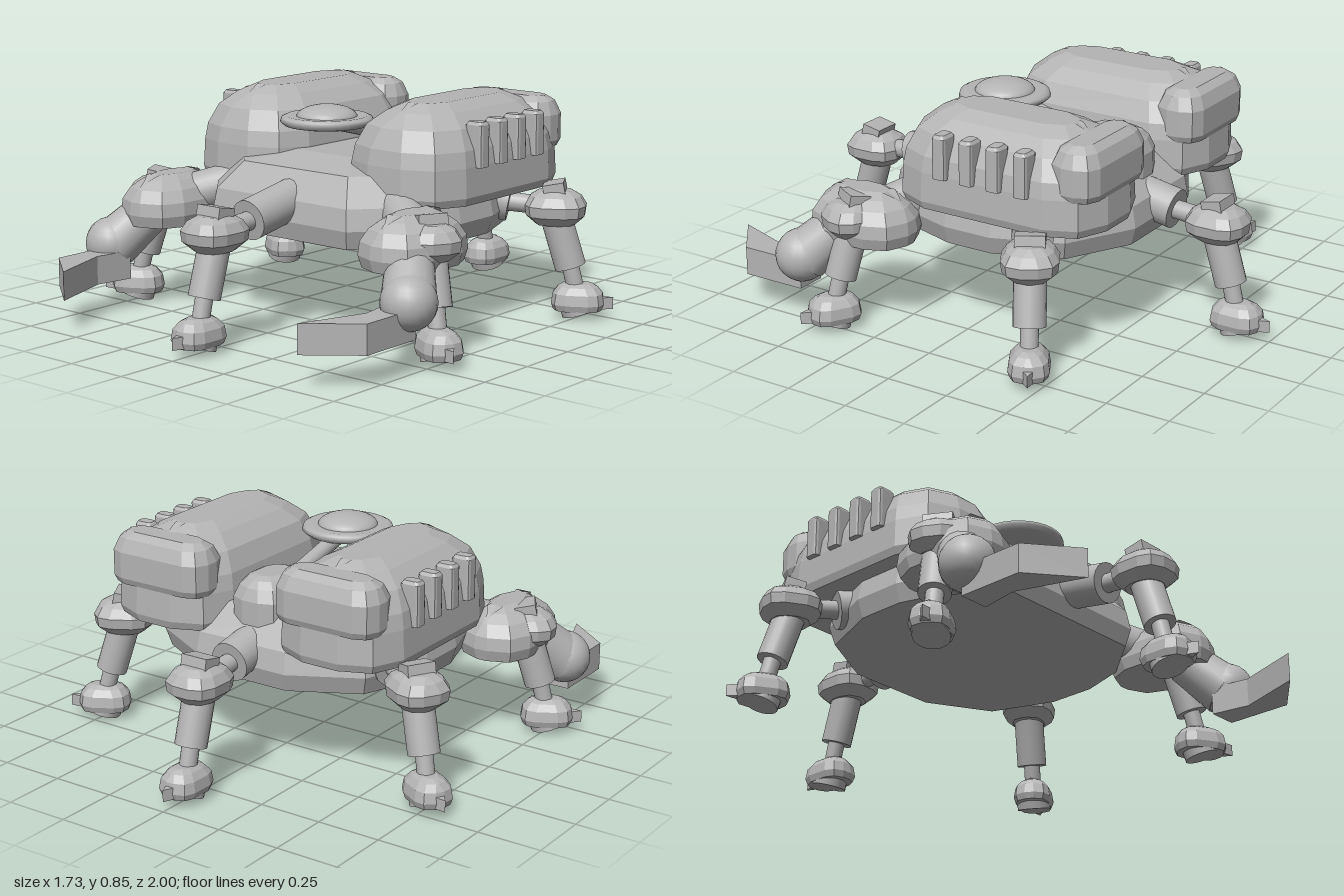
import * as THREE from 'three';

const flat = new THREE.MeshStandardMaterial({ color: 0xb4b4b4 });
flat.name = 'grey armour';

function add(parent, geometry, name, x = 0, y = 0, z = 0) {
  const mesh = new THREE.Mesh(geometry, flat);
  mesh.name = name;
  mesh.position.set(x, y, z);
  parent.add(mesh);
  return mesh;
}

// Closed faceted solid through loops of [x, z] points at rising heights
function loft(loops, heights) {
  const pos = [], n = loops[0].length;
  const at = (k, i) => [loops[k][i % n][0], heights[k], loops[k][i % n][1]];
  const top = loops.length - 1;
  for (let i = 0; i < n; i++) {
    for (let k = 0; k < top; k++) {
      const a = at(k, i), b = at(k, i + 1), c = at(k + 1, i), d = at(k + 1, i + 1);
      pos.push(...a, ...c, ...b, ...b, ...c, ...d);
    }
    pos.push(0, heights[top], 0, ...at(top, i + 1), ...at(top, i));
    pos.push(0, heights[0], 0, ...at(0, i), ...at(0, i + 1));
  }
  const g = new THREE.BufferGeometry();
  g.setAttribute('position', new THREE.Float32BufferAttribute(pos, 3));
  g.computeVertexNormals();
  return g;
}

// Rectangle with two-step chamfered corners
function plan(hx, hz, c) {
  const corner = [[hx, hz - c], [hx - 0.3 * c, hz - 0.3 * c], [hx - c, hz]];
  const back = [...corner].reverse();
  return [
    ...corner, ...back.map(([x, z]) => [-x, z]),
    ...corner.map(([x, z]) => [-x, -z]), ...back.map(([x, z]) => [x, -z]),
  ];
}

// Armour pod: profile is a list of [height, inset]
function pod(hx, hz, c, profile) {
  return loft(profile.map(([, d]) => plan(hx - d, hz - d, Math.max(c - d * 0.4, 0.01))), profile.map(([y]) => y));
}

// Cylinder between two points
function rod(parent, name, from, to, r0, r1 = r0) {
  const a = new THREE.Vector3(...from), b = new THREE.Vector3(...to);
  const dir = b.clone().sub(a);
  const mesh = add(parent, new THREE.CylinderGeometry(r1, r0, dir.length(), 20), name);
  mesh.position.copy(a).add(b).multiplyScalar(0.5);
  mesh.quaternion.setFromUnitVectors(new THREE.Vector3(0, 1, 0), dir.normalize());
  return mesh;
}

// Flat outline of [x, z] points, thickened downward from y = 0
function slab(points, depth) {
  const shape = new THREE.Shape(points.map(([x, z]) => new THREE.Vector2(x, z)));
  return new THREE.ExtrudeGeometry(shape, { depth, bevelEnabled: false }).rotateX(Math.PI / 2);
}

// Leg reaching out along +z
function makeLeg() {
  const leg = new THREE.Group();
  leg.name = 'leg';
  rod(leg, 'hip', [0, 0.52, 0.2], [0, 0.445, 0.6], 0.077);
  rod(leg, 'thighRod', [0, 0.445, 0.58], [0, 0.43, 0.76], 0.036);
  add(leg, pod(0.104, 0.115, 0.07, [[0.365, 0.04], [0.4, 0.005], [0.44, 0], [0.475, 0.02], [0.495, 0.05]]),
    'kneeCap', 0, 0, 0.775);
  const pin = add(leg, new THREE.BoxGeometry(0.11, 0.09, 0.08), 'kneePin', 0, 0.48, 0.775);
  pin.rotation.x = -0.2;
  rod(leg, 'shin', [0, 0.43, 0.765], [0, 0.2, 0.835], 0.06);
  rod(leg, 'ankle', [0, 0.22, 0.83], [0, 0.1, 0.86], 0.033);
  add(leg, pod(0.075, 0.1, 0.055, [[0.035, 0.008], [0.06, 0], [0.1, 0.006], [0.125, 0.025], [0.137, 0.045]]),
    'foot', 0, 0, 0.865);
  const sole = add(leg, new THREE.CylinderGeometry(0.068, 0.068, 0.04, 20), 'sole', 0, 0.041, 0.867);
  sole.rotation.x = -0.3;
  add(leg, slab([[-0.035, 0.92], [0.035, 0.92], [0, 1]], 0.045), 'toe', 0, 0.085, 0);
  return leg;
}

export function createModel() {
  const model = new THREE.Group();
  model.name = 'walker';

  // Hull
  const half = [[0.56, 0.06], [0.5, 0.25], [0.33, 0.44]];
  const rear = [[0.2, -0.54], [0.46, -0.4], [0.56, -0.14]];
  const outline = [
    ...half, ...[...half].reverse().map(([x, z]) => [-x, z]),
    ...[...rear].reverse().map(([x, z]) => [-x, z]), ...rear,
  ];
  const scaled = (s) => outline.map(([x, z]) => [x * s, z * s]);
  add(model, loft([0.96, 1, 0.97, 0.78, 0.4].map(scaled), [0.35, 0.42, 0.5, 0.6, 0.635]), 'hull');

  // Six legs evenly spread
  for (let i = 0; i < 6; i++) {
    const leg = makeLeg();
    leg.rotation.y = (i * Math.PI) / 3;
    model.add(leg);
  }

  for (const s of [1, -1]) {
    // Back shell, its rear module and side vents
    add(model, pod(0.25, 0.43, 0.17,
      [[0.5, 0.01], [0.53, 0], [0.64, 0.005], [0.7, 0.015], [0.775, 0.05], [0.825, 0.11], [0.855, 0.17]]),
    'shell', s * 0.375, 0, -0.145);
    add(model, pod(0.215, 0.095, 0.07, [[0.635, 0.01], [0.66, 0], [0.76, 0], [0.81, 0.02], [0.832, 0.05]]),
      'rearModule', s * 0.375, 0, -0.485);
    for (let i = 0; i < 4; i++) {
      add(model, pod(0.038, 0.028, 0.012, [[0.635, 0], [0.79, 0], [0.802, 0.008]]),
        'vent', s * 0.605, 0, 0.025 - i * 0.115);
    }

    // Pincer arm
    add(model, pod(0.148, 0.21, 0.12,
      [[0.335, 0.012], [0.38, 0], [0.43, 0.005], [0.475, 0.03], [0.505, 0.065], [0.525, 0.1]]),
    'shoulder', s * 0.595, 0, 0.385);
    rod(model, 'shoulderJoint', [s * 0.36, 0.5, 0.2], [s * 0.56, 0.43, 0.34], 0.08);
    rod(model, 'upperArm', [s * 0.64, 0.38, 0.46], [s * 0.73, 0.25, 0.58], 0.085, 0.1);
    add(model, new THREE.SphereGeometry(0.102, 20, 14), 'elbow', s * 0.735, 0.255, 0.585);
    const blade = [[0.76, 0.58], [0.76, 0.84], [0.575, 0.985], [0.665, 0.73], [0.64, 0.58]];
    add(model, slab(blade.map(([x, z]) => [s * x, z]), 0.11), 'pincer', 0, 0.235, 0);
  }

  // Spine block between the shells
  add(model, pod(0.115, 0.145, 0.08,
    [[0.5, 0.01], [0.55, 0], [0.64, 0], [0.685, 0.018], [0.71, 0.04], [0.722, 0.065]]),
  'spineBlock', 0, 0, -0.33);

  // Sensor dish and dome
  rod(model, 'sensorStalk', [0, 0.66, -0.22], [0, 0.75, 0.13], 0.03);
  const dish = [[0, 0.735], [0.13, 0.737], [0.16, 0.743], [0.177, 0.757], [0.172, 0.772], [0.155, 0.78], [0.125, 0.777], [0, 0.775]];
  add(model, new THREE.LatheGeometry(dish.map(([r, y]) => new THREE.Vector2(r, y)), 32), 'sensorDish', 0, 0, 0.16);
  const dome = add(model, new THREE.SphereGeometry(0.116, 28, 10, 0, Math.PI * 2, 0, Math.PI / 2), 'sensorDome', 0, 0.772, 0.16);
  dome.scale.y = 0.41;

  return model;
}
